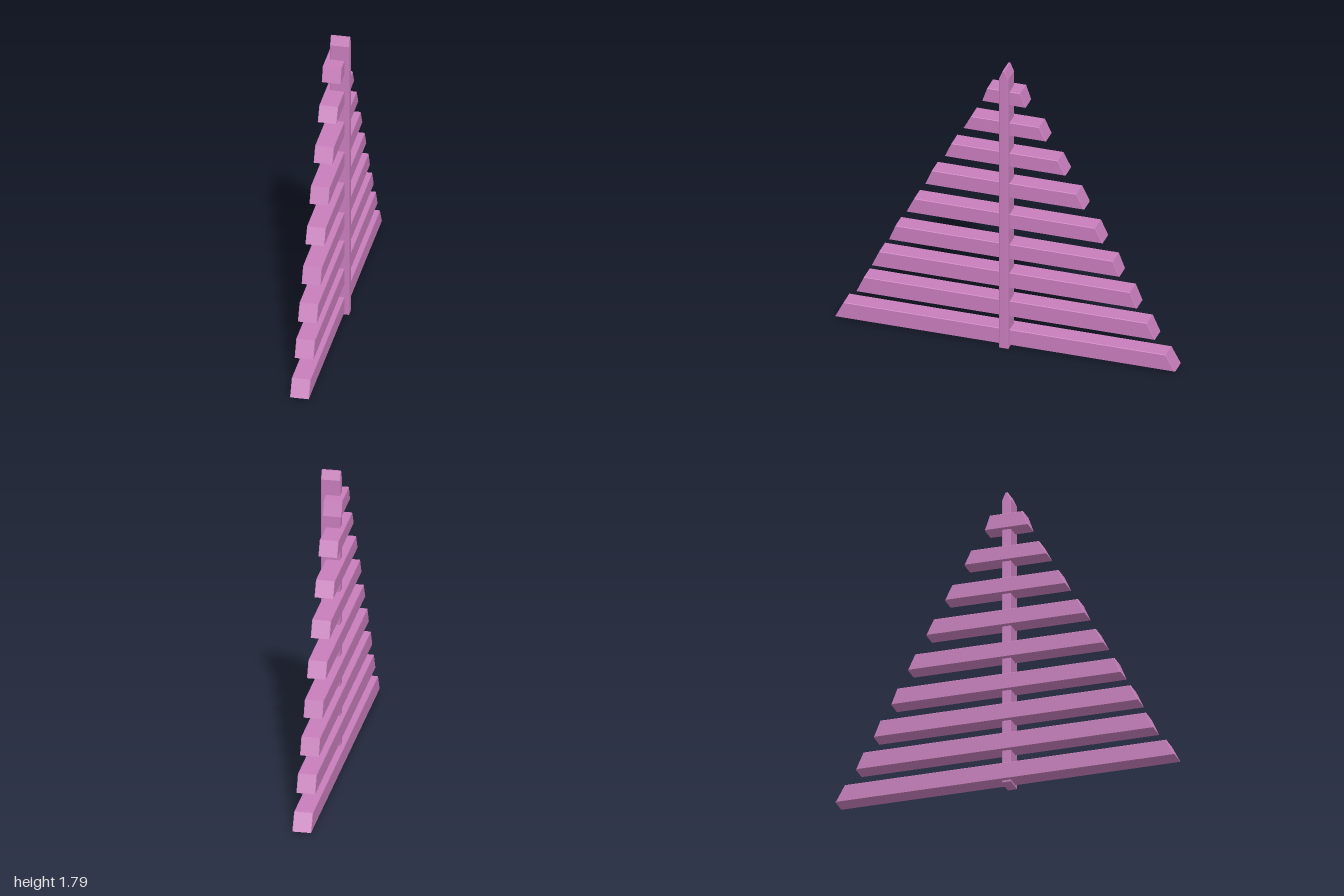
import * as THREE from 'three';

const BEVEL = 0.003;

// Extrudes a (z, y) outline along x, between x0 and x1, with finely eased edges
function plank(name, points, x0, x1, material) {
  const shape = new THREE.Shape(points.map(([z, y]) => new THREE.Vector2(z, y)));
  const geometry = new THREE.ExtrudeGeometry(shape, {
    depth: x1 - x0 - 2 * BEVEL,
    bevelThickness: BEVEL, bevelSize: BEVEL, bevelOffset: -BEVEL, bevelSegments: 1,
  });
  geometry.rotateY(-Math.PI / 2);
  geometry.translate(x1 - BEVEL, 0, 0);
  const mesh = new THREE.Mesh(geometry, material);
  mesh.name = name;
  return mesh;
}

export function createModel() {
  const group = new THREE.Group();
  group.name = 'slatTree';
  const paint = new THREE.MeshStandardMaterial({ color: 0xc77dbb });

  // Upright post with a pointed tip
  group.add(plank('post', [
    [-0.027, 0], [0.027, 0], [0.027, 1.74], [0.006, 1.79], [-0.006, 1.79], [-0.027, 1.74],
  ], -0.045, 0.065, paint));

  // Slats: bottom y, top y, then front and back ends at the bottom and at the top
  const slats = [
    [0.013, 0.112, 1.0, -1.0, 0.95, -0.945],
    [0.197, 0.297, 0.875, -0.88, 0.83, -0.835],
    [0.381, 0.479, 0.785, -0.775, 0.74, -0.735],
    [0.567, 0.662, 0.683, -0.672, 0.645, -0.635],
    [0.765, 0.857, 0.58, -0.573, 0.535, -0.53],
    [0.964, 1.057, 0.47, -0.465, 0.43, -0.42],
    [1.164, 1.253, 0.355, -0.355, 0.315, -0.31],
    [1.364, 1.449, 0.245, -0.24, 0.2, -0.2],
    [1.56, 1.648, 0.135, -0.12, 0.105, -0.09],
  ];
  slats.forEach(([y0, y1, frontLow, backLow, frontHigh, backHigh], i) => {
    group.add(plank(`slat${i + 1}`, [
      [backLow, y0], [frontLow, y0], [frontHigh, y1], [backHigh, y1],
    ], -0.07, 0.038, paint));
  });

  return group;
}
